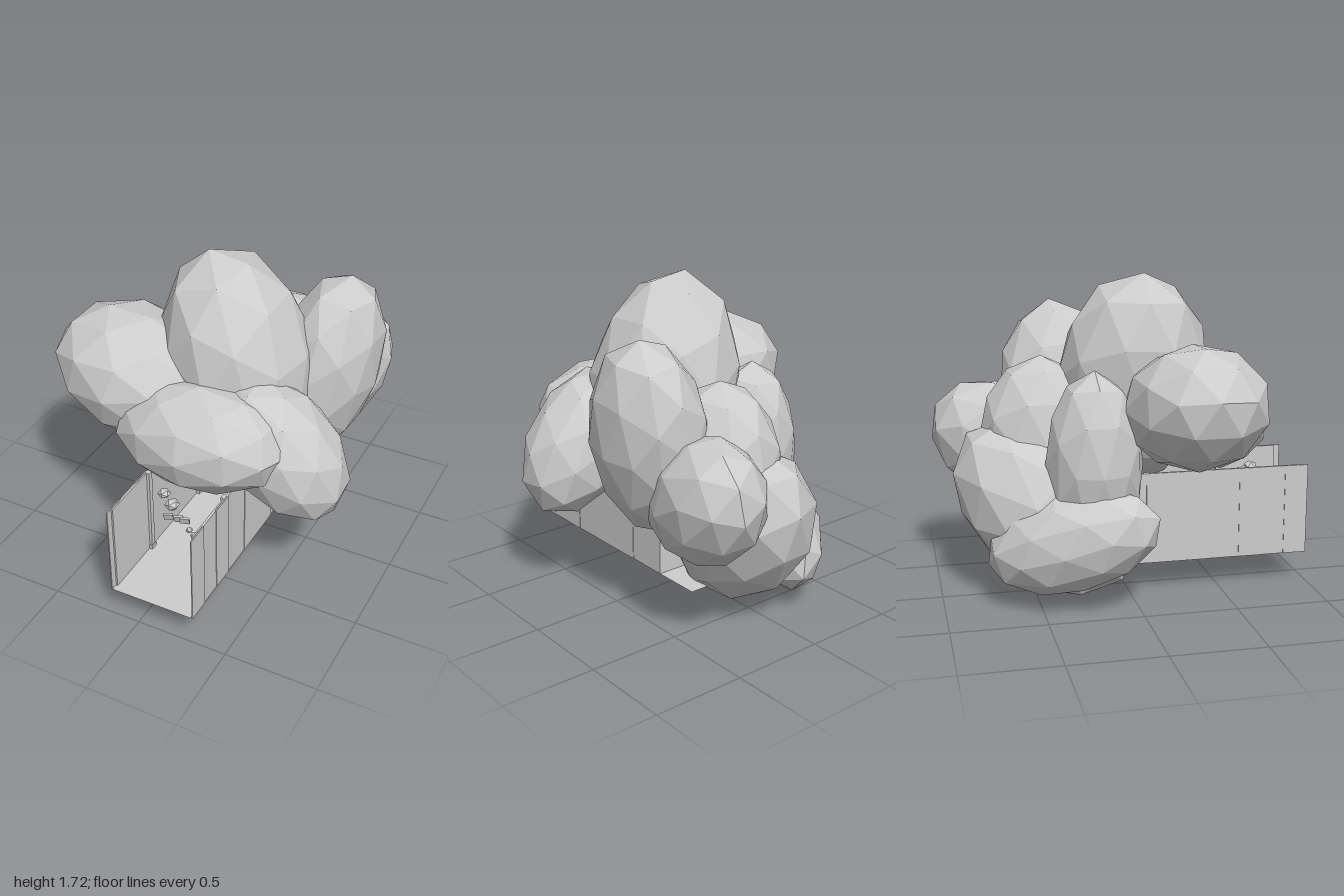
import * as THREE from 'three';

const grey = new THREE.MeshStandardMaterial({ color: 0xcccccc, flatShading: true, side: THREE.DoubleSide });
grey.name = 'plain grey';

// Boulders: name, centre, radii, rotation
const boulders = [
  ['topBoulder', [0.115, 1.14, 0.07], [0.39, 0.62, 0.42], [0.04, 0, 0.27]],
  ['leftUpperBoulder', [-0.355, 1.07, 0.3], [0.47, 0.33, 0.38], [0, 0, -0.25]],
  ['frontBoulder', [0.12, 0.93, 0.51], [0.48, 0.28, 0.3], [0, 0, 0.05]],
  ['rightFrontBoulder', [0.475, 0.85, 0.325], [0.44, 0.28, 0.29], [0.12, 0, -0.85]],
  ['rightUpperBoulder', [0.465, 1.015, -0.265], [0.285, 0.54, 0.35], [-0.1, 0, -0.18]],
  ['backRightBoulder', [0.375, 0.76, -0.59], [0.28, 0.33, 0.46], [0.5, -0.28, 0]],
  ['baseBoulder', [0, 0.49, -0.44], [0.38, 0.58, 0.39], [-0.8, 0, -0.35]],
  ['leftLowerBoulder', [-0.315, 0.385, -0.34], [0.23, 0.27, 0.48], [-0.34, -0.36, 0]],
  ['leftMiddleBoulder', [-0.235, 0.77, -0.21], [0.27, 0.5, 0.26], [0, 0, 0.05]],
  ['backMiddleBoulder', [0.15, 0.84, -0.43], [0.31, 0.45, 0.34], [0, 0, 0]],
];

// Corridor limits
const X0 = -0.155, X1 = 0.32, Y0 = 0.178, Y1 = 0.68, FRONT = 1, BACK = -0.15;
const PANEL_EDGES = [1, 0.87, 0.74, 0.61, 0.42, 0.09, -0.01, -0.15];

function addBox(parent, name, size, position, rotation = [0, 0, 0]) {
  const mesh = new THREE.Mesh(new THREE.BoxGeometry(...size), grey);
  mesh.name = name;
  mesh.position.set(...position);
  mesh.rotation.set(...rotation);
  parent.add(mesh);
}

function makeCorridor() {
  const corridor = new THREE.Group();
  corridor.name = 'corridor';
  const midX = (X0 + X1) / 2, midY = (Y0 + Y1) / 2, height = Y1 - Y0;

  // Thin floor that runs back under the boulders
  const floor = new THREE.Mesh(new THREE.PlaneGeometry(X1 - X0, 1.42), grey);
  floor.name = 'floor';
  floor.rotation.x = -Math.PI / 2;
  floor.position.set(midX, Y0, FRONT - 0.71);
  corridor.add(floor);
  addBox(corridor, 'backWall', [X1 - X0, height, 0.006], [midX, midY, BACK + 0.003]);

  // Side walls: upright panels, alternately set back a little, with inner lining and posts
  for (const [side, x, inward] of [['left', X1, -1], ['right', X0, 1]]) {
    for (let i = 0; i < PANEL_EDGES.length - 1; i++) {
      const z0 = PANEL_EDGES[i], z1 = PANEL_EDGES[i + 1];
      const inset = (i % 2) * 0.003;
      addBox(corridor, side + 'WallPanel', [0.006, height, z0 - z1], [x + inward * (0.003 + inset), midY, (z0 + z1) / 2]);
    }
    addBox(corridor, side + 'Lining', [0.008, height, 1.11], [x + inward * 0.012, midY, 0.41]);
    for (const z of [0.62, 0.09]) {
      addBox(corridor, side + 'Post', [0.016, height, 0.03], [x + inward * 0.023, midY, z]);
      addBox(corridor, side + 'PostFoot', [0.022, 0.025, 0.04], [x + inward * 0.024, Y0 + 0.0125, z]);
    }
  }
  return corridor;
}

// Small loose stones and hung plates inside the passage
function makeFittings() {
  const fittings = new THREE.Group();
  fittings.name = 'smallFittings';
  for (const [x, y, z, r] of [[-0.01, 0.63, 0.68, 0.035], [0.07, 0.63, 0.74, 0.04], [0.02, 0.53, 0.66, 0.022], [0.17, 0.435, 0.7, 0.022], [0.12, 0.42, 0.66, 0.02]]) {
    const stone = new THREE.Mesh(new THREE.IcosahedronGeometry(r, 0), grey);
    stone.name = 'smallStone';
    stone.scale.set(1, 0.7, 1);
    stone.position.set(x, y, z);
    fittings.add(stone);
  }
  for (const [x, y, z, tilt] of [[0.145, 0.56, 0.75, -0.1], [0.095, 0.53, 0.72, 0.1], [0.01, 0.485, 0.68, 0]]) {
    addBox(fittings, 'smallPlate', [0.05, 0.04, 0.012], [x, y, z], [0.3, 0.3, tilt]);
  }
  return fittings;
}

export function createModel() {
  const model = new THREE.Group();
  model.name = 'boulderPileWithCorridor';
  for (const [name, centre, radii, rotation] of boulders) {
    const mesh = new THREE.Mesh(new THREE.IcosahedronGeometry(1, 1), grey);
    mesh.name = name;
    mesh.position.set(...centre);
    mesh.scale.set(...radii);
    mesh.rotation.set(...rotation);
    model.add(mesh);
  }
  model.add(makeCorridor(), makeFittings());
  return model;
}
